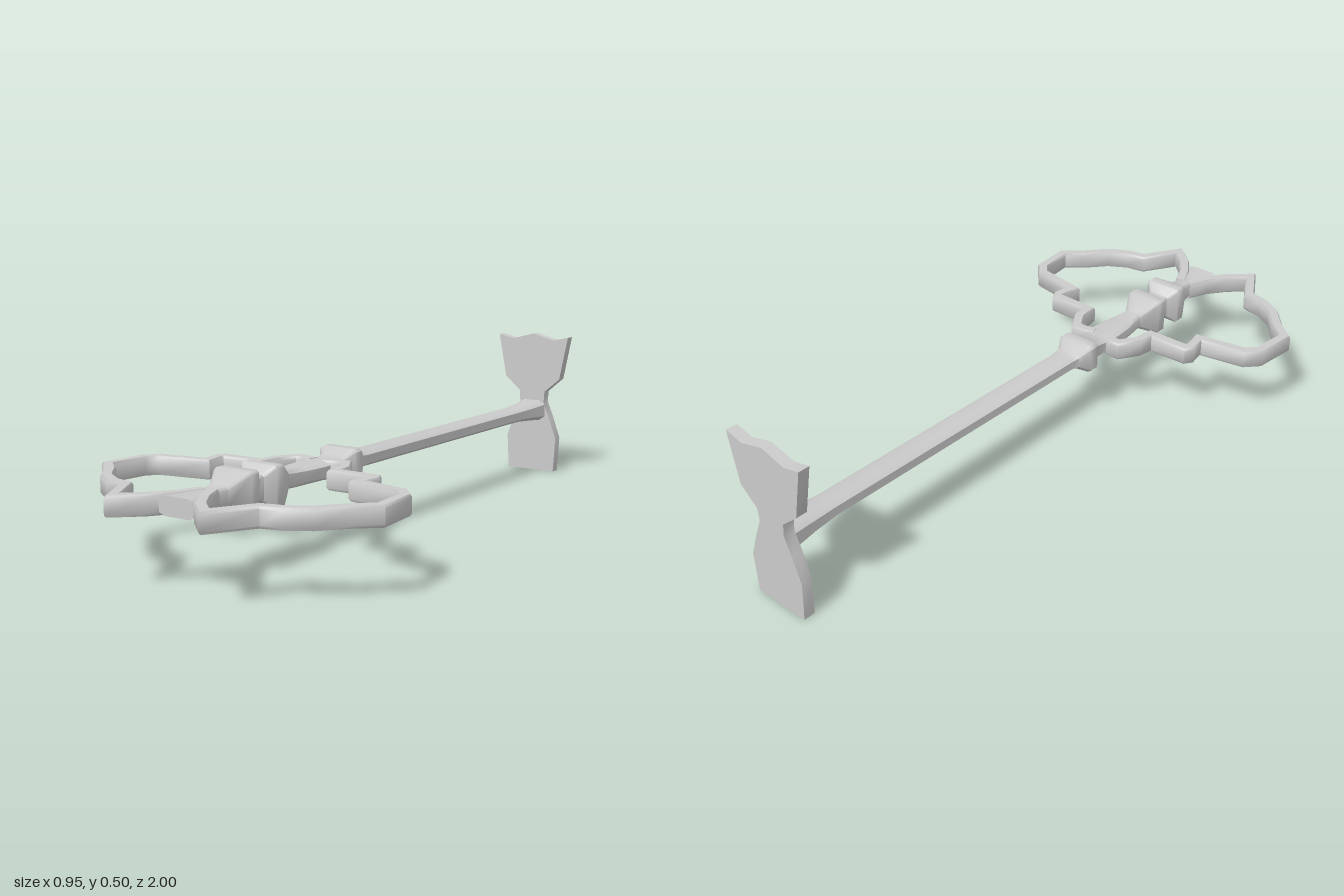
import * as THREE from 'three';
import { toCreasedNormals } from 'three/addons/utils/BufferGeometryUtils.js';

const AXIS_Y = 0.22;
const material = new THREE.MeshStandardMaterial({ color: 0xcccccc });

// Sweeps a chamfered rectangle through stations { x, z, w, h, c } (half width, half height, chamfer share)
function sweep(stations) {
  const pos = [], index = [], n = stations.length;
  const dir = (a, b) => new THREE.Vector2(b.x - a.x, b.z - a.z).normalize();
  stations.forEach((s, i) => {
    const d0 = i > 0 ? dir(stations[i - 1], s) : dir(s, stations[1]);
    const d1 = i < n - 1 ? dir(s, stations[i + 1]) : d0;
    const t = d0.clone().add(d1).normalize();
    const mitre = 1 / Math.max(0.6, t.dot(d1));
    const cx = s.w * (1 - s.c), cy = s.h * (1 - s.c);
    const section = [[s.w, -cy], [s.w, cy], [cx, s.h], [-cx, s.h],
      [-s.w, cy], [-s.w, -cy], [-cx, -s.h], [cx, -s.h]];
    for (const [u, v] of section) pos.push(s.x + t.y * u * mitre, AXIS_Y + v, s.z - t.x * u * mitre);
  });
  for (let i = 0; i < n - 1; i++) {
    for (let j = 0; j < 8; j++) {
      const k = (j + 1) % 8, a = i * 8 + j, b = i * 8 + k;
      index.push(a, b, a + 8, b, b + 8, a + 8);
    }
  }
  // End caps
  const e = (n - 1) * 8;
  for (let j = 1; j < 7; j++) index.push(0, j + 1, j, e, e + j, e + j + 1);
  const g = new THREE.BufferGeometry();
  g.setAttribute('position', new THREE.Float32BufferAttribute(pos, 3));
  g.setIndex(index);
  return toCreasedNormals(g, 0.9);
}

function addMesh(group, name, geometry) {
  const mesh = new THREE.Mesh(geometry, material);
  mesh.name = name;
  group.add(mesh);
}

export function createModel() {
  const group = new THREE.Group();
  group.name = 'ornateKey';

  // Long rod with collar, tapered grip and two knobs: z, half width, half height, chamfer
  const rod = [
    [-0.97, 0.052, 0.036, 0.4], [-0.9, 0.044, 0.03, 0.45], [-0.82, 0.038, 0.024, 0.45],
    [0.14, 0.038, 0.023, 0.45], [0.17, 0.042, 0.026, 0.4], [0.205, 0.063, 0.046, 0.2],
    [0.235, 0.063, 0.046, 0.2], [0.26, 0.043, 0.03, 0.35], [0.3, 0.045, 0.026, 0.4],
    [0.36, 0.049, 0.026, 0.4], [0.43, 0.042, 0.026, 0.4], [0.5, 0.03, 0.026, 0.35],
    [0.56, 0.062, 0.058, 0.12], [0.59, 0.062, 0.058, 0.12], [0.615, 0.037, 0.036, 0.2],
    [0.64, 0.037, 0.036, 0.2], [0.665, 0.063, 0.06, 0.12], [0.695, 0.063, 0.06, 0.12],
    [0.75, 0.032, 0.03, 0.3], [0.8, 0.026, 0.026, 0.35], [0.85, 0.036, 0.026, 0.35],
    [0.905, 0.062, 0.026, 0.35],
  ];
  addMesh(group, 'rod', sweep(rod.map(([z, w, h, c]) => ({ x: 0, z, w, h, c }))));

  // Mirrored wing-shaped handle loops, centre line in x, z
  const wing = [
    [0.02, 0.325], [0.055, 0.315], [0.085, 0.315], [0.12, 0.37], [0.127, 0.425], [0.258, 0.427],
    [0.268, 0.443], [0.257, 0.503], [0.41, 0.53], [0.443, 0.567], [0.455, 0.69],
    [0.4, 0.737], [0.342, 0.805], [0.28, 0.842], [0.22, 0.855], [0.15, 0.972],
    [0.09, 0.918], [0.045, 0.855], [0.015, 0.79],
  ];
  for (const [name, side] of [['leftLoop', 1], ['rightLoop', -1]]) {
    addMesh(group, name, sweep(wing.map(([x, z]) => ({ x: x * side, z, w: 0.017, h: 0.028, c: 0.25 }))));
  }

  // Flat bit plate across the back end, half outline mirrored
  const half = [[0.09, 0], [0.097, 0.12], [0.07, 0.195], [0.047, 0.25], [0.05, 0.288],
    [0.107, 0.337], [0.137, 0.488], [0.08, 0.475]];
  const outline = [...half, [0, 0.496], ...half.map(([x, y]) => [-x, y]).reverse()];
  const shape = new THREE.Shape(outline.map(([x, y]) => new THREE.Vector2(x, y)));
  const plate = new THREE.ExtrudeGeometry(shape, { depth: 0.034, bevelEnabled: false });
  plate.translate(0, 0, -1);
  addMesh(group, 'bitPlate', toCreasedNormals(plate, 0.7));

  return group;
}
